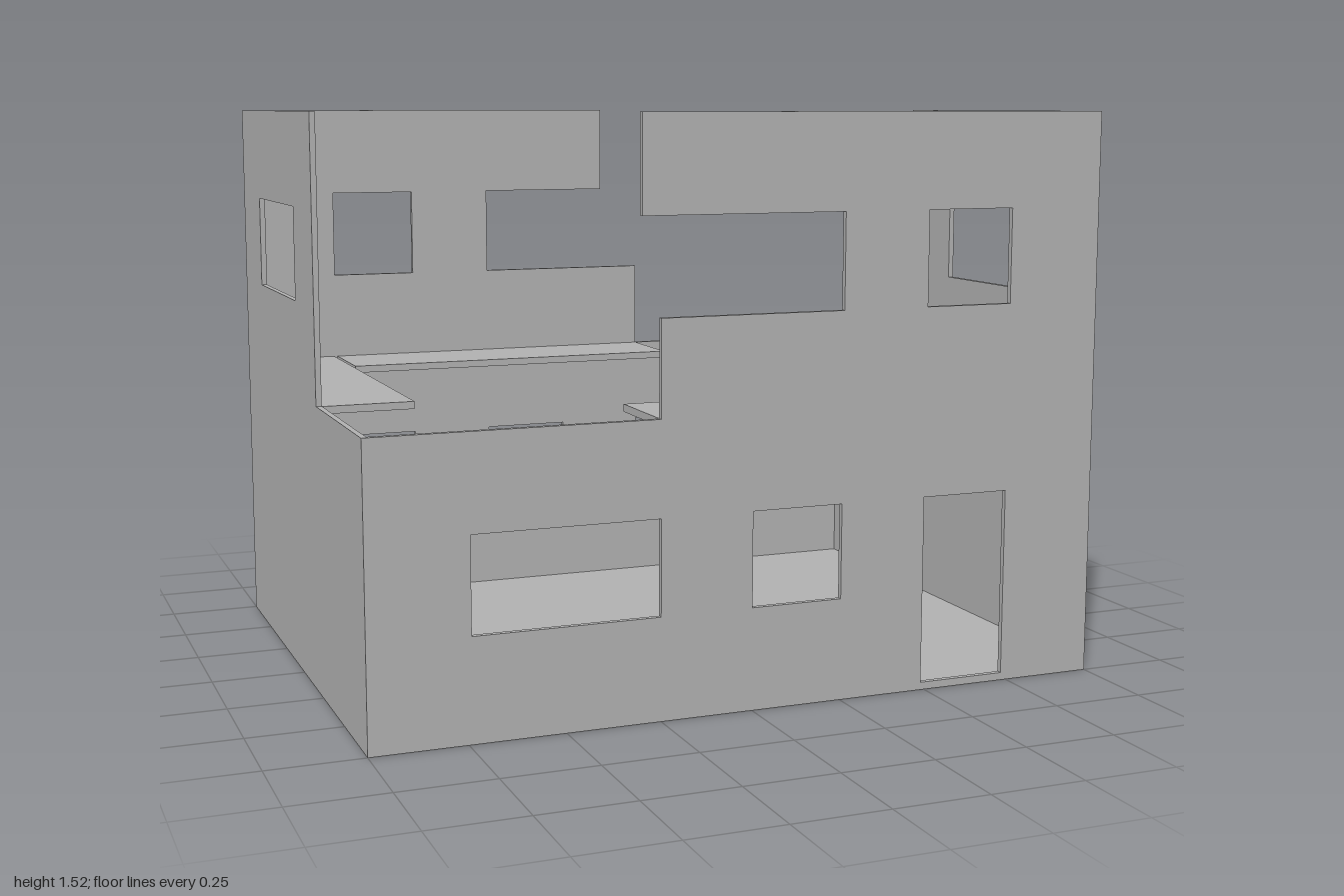
import * as THREE from 'three';

const T = 0.015;      // wall thickness
const STOREY = 0.77;  // top of the lower storey
const TOP = 1.52;

const wallGrey = new THREE.MeshStandardMaterial({ color: 0xb2b2b2 });

// Flat panel from an outline, with rectangular openings [x0, y0, x1, y1]
function panel(name, outline, openings) {
  const shape = new THREE.Shape(outline.map(([x, y]) => new THREE.Vector2(x, y)));
  for (const [x0, y0, x1, y1] of openings) {
    shape.holes.push(new THREE.Path([[x0, y0], [x0, y1], [x1, y1], [x1, y0]]
      .map(([x, y]) => new THREE.Vector2(x, y))));
  }
  const geometry = new THREE.ExtrudeGeometry(shape, { depth: T, bevelEnabled: false });
  const mesh = new THREE.Mesh(geometry, wallGrey);
  mesh.name = name;
  return mesh;
}

// Box given by its low and high corners
function slab(name, [x0, y0, z0], [x1, y1, z1]) {
  const mesh = new THREE.Mesh(new THREE.BoxGeometry(x1 - x0, y1 - y0, z1 - z0), wallGrey);
  mesh.position.set((x0 + x1) / 2, (y0 + y1) / 2, (z0 + z1) / 2);
  mesh.name = name;
  return mesh;
}

// Half of the house: a long wall, a side wall and their upper floor ledges
function houseHalf(name, longName, sideName, lintelStart) {
  const half = new THREE.Group();
  half.name = name;

  // Long wall, cut away on one side, with an overhanging strip above the wide opening
  const longWall = panel(longName, [
    [-1, 0], [1, 0], [1, TOP], [lintelStart, TOP], [lintelStart, 1.27], [0.25, 1.27],
    [0.25, 1.02], [-0.25, 1.02], [-0.25, STOREY], [-1, STOREY],
  ], [
    [-0.74, 0.27, -0.25, 0.52],  // wide window
    [0, 0.27, 0.25, 0.52],       // small window
    [0.49, 0.02, 0.735, 0.52],   // doorway
    [0.49, 1.02, 0.735, 1.27],   // upper window
  ]);
  longWall.position.z = 0.75 - T;
  half.add(longWall);

  // Side wall, fitted between the long walls
  const e = 0.75 - T;
  const sideWall = panel(sideName, [
    [-e, 0], [e, 0], [e, STOREY], [0.24, STOREY], [0.24, TOP], [-e, TOP],
  ], [[-0.495, 1.02, 0, 1.27]]);
  sideWall.rotation.y = Math.PI / 2;
  sideWall.position.x = 1 - T;
  half.add(sideWall);

  // Upper floor ledges with a narrow gap between them
  half.add(slab('longLedge', [-0.25, STOREY - 0.02, 0.485], [0.732, STOREY, e]));
  half.add(slab('sideLedge', [0.742, STOREY - 0.02, -0.245], [1 - T, STOREY, e]));
  return half;
}

export function createModel() {
  const house = new THREE.Group();
  house.name = 'house';

  house.add(houseHalf('frontHalf', 'frontWall', 'leftWall', -0.3));
  const back = houseHalf('backHalf', 'backWall', 'rightWall', -0.13);
  back.rotation.y = Math.PI;
  house.add(back);

  // Ground floor inside the walls
  house.add(slab('groundFloor', [-1 + T, 0, -0.75 + T], [1 - T, 0.018, 0.75 - T]));
  return house;
}
